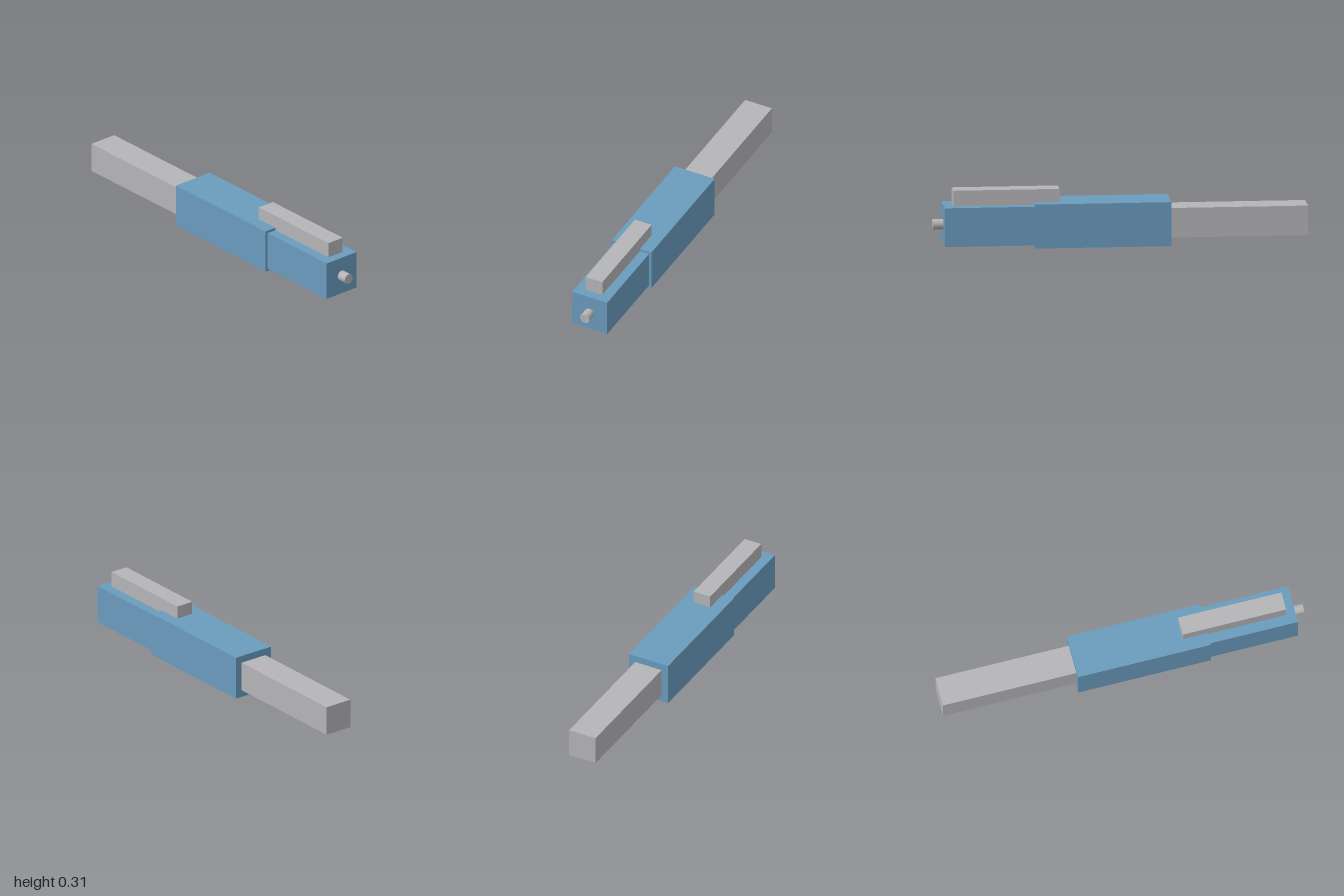
import * as THREE from 'three';

export function createModel() {
  const model = new THREE.Group();
  const blue = new THREE.MeshStandardMaterial({ color: 0x6a9bbd });
  blue.name = 'steel blue';
  const grey = new THREE.MeshStandardMaterial({ color: 0xb5b4b6 });
  grey.name = 'light grey';

  const axisY = 0.119; // height of the common long axis

  // Box given by its x and y extents and its depth, centred on z = 0
  function block(name, material, x0, x1, y0, y1, depth) {
    const mesh = new THREE.Mesh(new THREE.BoxGeometry(x1 - x0, y1 - y0, depth), material);
    mesh.position.set((x0 + x1) / 2, (y0 + y1) / 2, 0);
    mesh.name = name;
    model.add(mesh);
  }

  // Main housing, with the narrower end section stepping down from it
  block('mainHousing', blue, -0.267, 0.462, 0, 0.238, 0.238);
  block('endHousing', blue, 0.462, 0.943, 0.014, 0.224, 0.21);

  // Square bar reaching out of the far end
  block('squareBar', grey, -1, -0.267, 0.039, 0.199, 0.16);

  // Rail lying along the top, partly sunk into the main housing
  block('topRail', grey, 0.326, 0.893, 0.224, 0.308, 0.1);

  // Short round shaft on the end face
  const shaft = new THREE.Mesh(new THREE.CylinderGeometry(0.028, 0.028, 0.057, 32), grey);
  shaft.rotation.z = -Math.PI / 2;
  shaft.position.set(0.9715, axisY, 0);
  shaft.name = 'roundShaft';
  model.add(shaft);

  return model;
}
